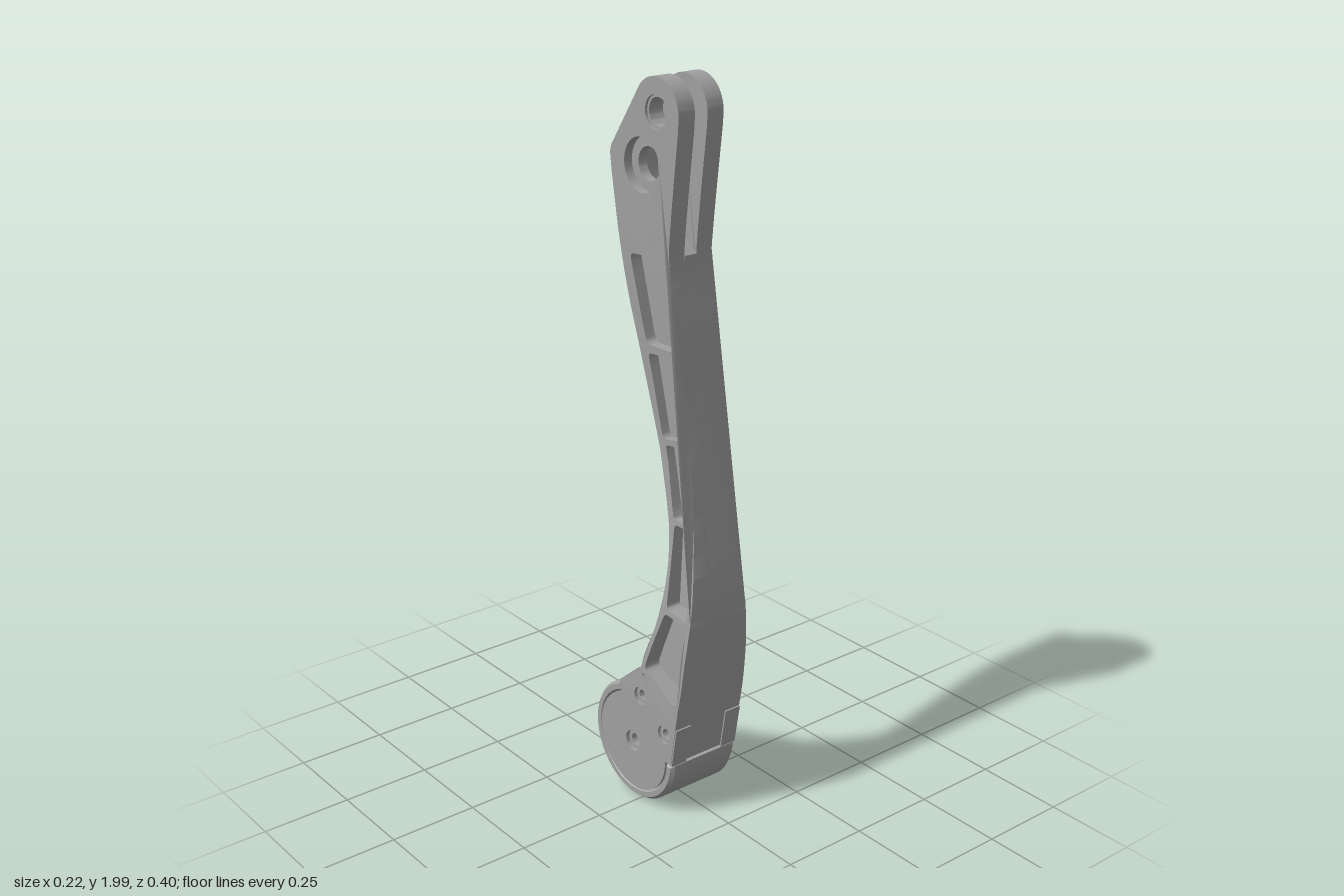
import * as THREE from 'three';
import { toCreasedNormals } from 'three/addons/utils/BufferGeometryUtils.js';

// Side shapes are drawn in (z, y); widths are fractions u of the half width at each height.
const V = (z, y) => new THREE.Vector2(z, y);
const FOOT = V(-0.027, 0.175);
const WIDTHS = [[0, 0.112], [0.35, 0.112], [0.5, 0.106], [0.62, 0.094], [0.74, 0.076], [0.85, 0.062],
  [1.02, 0.05], [1.2, 0.055], [1.4, 0.064], [1.6, 0.069], [2.1, 0.07]];
const SLOT_U = 0.28;

function halfWidth(y) {
  for (let i = 1; i < WIDTHS.length; i++) {
    const [y0, w0] = WIDTHS[i - 1], [y1, w1] = WIDTHS[i];
    if (y <= y1) return THREE.MathUtils.lerp(w0, w1, Math.max(0, (y - y0) / (y1 - y0)));
  }
  return 0.07;
}

function arc(c, r, a0, a1, n) {
  return Array.from({ length: n + 1 }, (_, i) => {
    const a = a0 + (a1 - a0) * i / n;
    return V(c.x + r * Math.cos(a), c.y + r * Math.sin(a));
  });
}

const spline = (pts, n) => new THREE.SplineCurve(pts.map(p => V(...p))).getPoints(n);

// Closed outline of the arm; the core version leaves the top slot open
function outline(withSlot) {
  const front = spline([[0.139, 0.175], [0.16, 0.3], [0.18, 0.42], [0.196, 0.58], [0.195, 0.68], [0.165, 0.9],
    [0.132, 1.13], [0.102, 1.36], [0.08, 1.53], [0.082, 1.62], [0.114, 1.88]], 70);
  const back = spline([[-0.15, 1.74], [-0.107, 1.5], [-0.045, 1.27], [0.03, 1.0], [0.075, 0.82], [0.082, 0.68],
    [0.06, 0.56], [0.02, 0.46], [0, 0.41], [-0.085, 0.337]], 70);
  const top = withSlot
    ? spline([[0.079, 1.56], [0.01, 1.61], [-0.05, 1.68], [-0.075, 1.76], [-0.07, 1.918]], 20)
    : arc(V(0.03, 1.913), 0.086, -0.1, 2.4, 24);
  return [
    ...(withSlot ? front.filter(p => p.y < 1.55) : front),
    ...top,
    ...arc(V(-0.11, 1.785), 0.045, 2.4, 3.35, 10),
    ...back,
    ...arc(FOOT, 0.142, 1.92, Math.PI * 2, 50),
  ];
}

// Polygon with small rounded corners and subdivided edges
function roundedPolygon(corners, r) {
  const pts = [], n = corners.length;
  corners.forEach((c, i) => {
    const p = V(...c), prev = V(...corners[(i + n - 1) % n]), next = V(...corners[(i + 1) % n]);
    const a = p.clone().add(prev.clone().sub(p).setLength(r));
    const b = p.clone().add(next.clone().sub(p).setLength(r));
    pts.push(...new THREE.QuadraticBezierCurve(a, p, b).getPoints(4));
    const end = next.clone().add(p.clone().sub(next).setLength(r));
    for (let k = 1; k < 6; k++) pts.push(b.clone().lerp(end, k / 6));
  });
  return pts;
}

// Plate from u0 to u1 across the width, following the varying half width
function plate(points, holes, u0, u1) {
  const shape = new THREE.Shape(points);
  shape.holes = holes.map(h => new THREE.Path(h));
  const g = new THREE.ExtrudeGeometry(shape, { depth: u1 - u0, bevelEnabled: false, steps: 1 });
  g.translate(0, 0, u0).rotateY(-Math.PI / 2);
  const p = g.attributes.position;
  for (let i = 0; i < p.count; i++) p.setX(i, p.getX(i) * halfWidth(p.getY(i)));
  return toCreasedNormals(g, 0.5);
}

// Weight-saving pockets [corners, corner radius, floor]
const POCKETS = [
  [[[0.06, 1.553], [-0.08, 1.543], [-0.022, 1.315], [0.086, 1.318]], 0.018, 0.5],
  [[[0.09, 1.302], [-0.018, 1.292], [0.032, 1.07], [0.12, 1.088]], 0.015, 0.5],
  [[[0.127, 1.065], [0.042, 1.058], [0.087, 0.865], [0.157, 0.87]], 0.013, 0.5],
  [[[0.162, 0.855], [0.092, 0.853], [0.098, 0.622], [0.182, 0.615]], 0.012, 0.52],
  [[[0.182, 0.598], [0.094, 0.608], [0.022, 0.422], [0.16, 0.357]], 0.015, 0.56],
  [[[0.15, 0.313], [0.015, 0.406], [0.015, 0.395], [0.15, 0.301]], 0.003, 0.9],
];
// Bolt holes [z, y, outer radius, inner radius, seat level]
const BOLTS = [
  [-0.028, 1.775, 0.07, 0.043, 0.65],
  [0.03, 1.913, 0.043, 0.036, 0.9],
  [FOOT.x, FOOT.y, 0.03, 0.018, 0.9],
  [0.008, 0.33, 0.026, 0.015, 0.92],
  [0.11, 0.255, 0.026, 0.015, 0.92],
];

export function createModel() {
  const model = new THREE.Group();
  model.name = 'leg';
  const grey = new THREE.MeshStandardMaterial({ color: 0xa0a0a0 });
  grey.name = 'grey';
  const add = (name, geometry, parent = model) => {
    const m = new THREE.Mesh(geometry, grey);
    m.name = name;
    parent.add(m);
    return m;
  };
  const circle = (z, y, r) => arc(V(z, y), r, 0, Math.PI * 2, 32).slice(0, -1);

  // Core web
  add('core', plate(outline(true), [circle(FOOT.x, FOOT.y, 0.018)], -SLOT_U, SLOT_U));

  // Side frames, pocket floors and bolt seats
  const pocketOutlines = POCKETS.map(([c, r]) => roundedPolygon(c, r));
  const boltOutlines = BOLTS.map(([z, y, r]) => circle(z, y, r));
  for (const side of [1, -1]) {
    const name = side < 0 ? 'left' : 'right';
    const sidePlate = (pts, holes, u) =>
      plate(pts, holes, side > 0 ? SLOT_U : -u, side > 0 ? u : -SLOT_U);
    add(name + 'Frame', sidePlate(outline(false), [...pocketOutlines, ...boltOutlines], 1));
    POCKETS.forEach((p, i) => add(name + 'PocketFloor', sidePlate(pocketOutlines[i], [], p[2])));
    BOLTS.forEach(([z, y, , r, u], i) =>
      add(name + 'BoltSeat', sidePlate(boltOutlines[i], [circle(z, y, r)], u)));
  }

  // Wrap-around sole with chamfered edges
  const sole = new THREE.Shape([
    ...arc(FOOT, 0.171, 1.92, Math.PI * 2 - 0.03, 60),
    ...arc(FOOT, 0.14, Math.PI * 2 - 0.03, 1.92, 60),
  ]);
  const soleGeometry = new THREE.ExtrudeGeometry(sole, {
    depth: 0.2, bevelThickness: 0.011, bevelSize: 0.008, bevelOffset: -0.008, bevelSegments: 1,
  });
  soleGeometry.translate(0, 0, -0.1).rotateY(-Math.PI / 2);
  add('sole', toCreasedNormals(soleGeometry, 0.5));

  // Zigzag tread bars around the bottom and back
  for (let row = 0; row < 9; row++) {
    const bar = new THREE.Group();
    bar.name = 'treadRow';
    bar.position.set(0, FOOT.y, FOOT.x);
    bar.rotation.x = 2.75 - row * 0.27 + Math.PI;
    for (let i = 0; i < 4; i++) {
      const piece = add('treadBar', new THREE.BoxGeometry(0.054, 0.006, 0.011), bar);
      piece.position.set(-0.075 + i * 0.05, 0.1705, 0);
      piece.rotation.y = i % 2 ? 0.35 : -0.35;
    }
  }

  // Sole clips on the front and back of the ankle
  for (const x of [-0.086, 0.086]) {
    const front = add('frontClip', new THREE.BoxGeometry(0.05, 0.12, 0.007));
    front.position.set(x, 0.23, 0.149);
    front.rotation.x = 0.17;
    const back = add('backClip', new THREE.BoxGeometry(0.05, 0.1, 0.007));
    back.position.set(x, 0.374, -0.042);
    back.rotation.x = 0.86;
  }
  return model;
}
